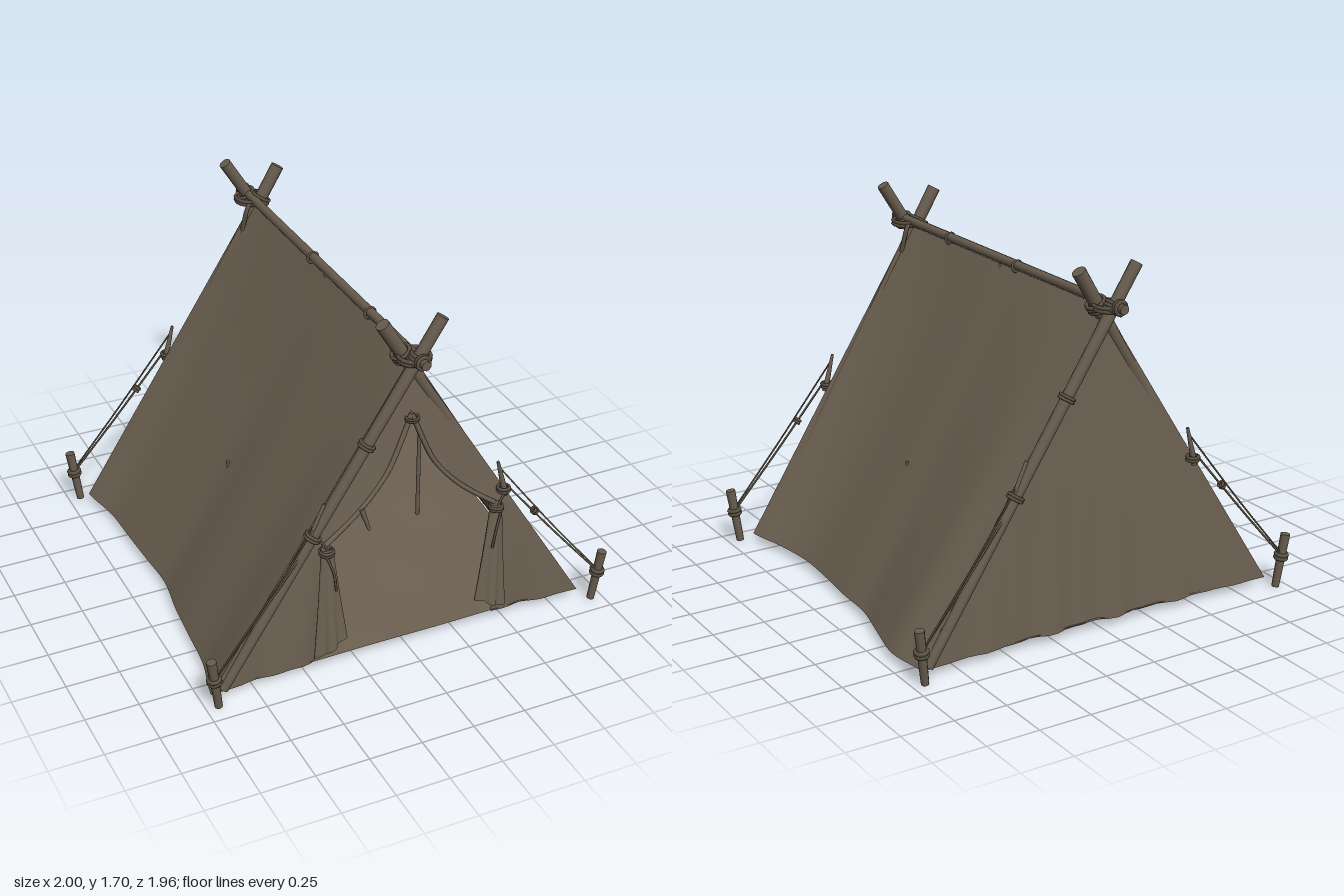
import * as THREE from 'three';

const V = (x, y, z) => new THREE.Vector3(x, y, z);
const TOP = 1.485, HEM = 0.04;

// Linear lookup in a short list of [key, value] pairs
function lookup(pairs, k) {
  for (let i = 1; i < pairs.length; i++) {
    const [a, va] = pairs[i - 1], [b, vb] = pairs[i];
    if (k <= b) return THREE.MathUtils.lerp(va, vb, THREE.MathUtils.clamp((k - a) / (b - a), 0, 1));
  }
  return pairs[pairs.length - 1][1];
}

// Wavy hem of each side, from back to front
const hemCurve = list => new THREE.SplineCurve(list.map((x, i) => new THREE.Vector2(-0.87 + i * 0.2175, x)));
const hems = {
  1: hemCurve([0.93, 0.955, 0.91, 0.86, 0.85, 0.83, 0.82, 0.845, 0.89]),
  '-1': hemCurve([0.91, 0.87, 0.86, 0.85, 0.84, 0.87, 0.89, 0.91, 0.96]),
};
const hemX = (side, w) => hems[side].getPoint(w).y;
const drop = y => (TOP - y) / (TOP - HEM);
const endZ = t => 0.84 + 0.03 * t;
const ruffle = (x, t) => t * t * (0.012 * Math.sin(x * 19) + 0.008 * Math.sin(x * 37 + 1));

// Half-width of the door opening by height
const doorX = y => lookup([[0.04, 0.44], [0.55, 0.43], [0.66, 0.42], [0.72, 0.34], [0.8, 0.245],
  [0.88, 0.17], [0.97, 0.105], [1.08, 0.055], [1.22, 0.0]], y);

export function createModel() {
  const group = new THREE.Group();
  const mat = (name, color, side = THREE.FrontSide) => {
    const m = new THREE.MeshStandardMaterial({ color, side });
    m.name = name;
    return m;
  };
  const canvas = mat('canvas', 0x6e6253, THREE.DoubleSide);
  const wood = mat('wood', 0x685c4e);
  const rope = mat('rope', 0x5c5144);

  const add = (name, geometry, material) => {
    const mesh = new THREE.Mesh(geometry, material);
    mesh.name = name;
    group.add(mesh);
    return mesh;
  };

  // Cloth sheet from a rule over u and v
  function sheet(name, nu, nv, rule) {
    const g = new THREE.PlaneGeometry(1, 1, nu, nv), p = g.attributes.position;
    for (let i = 0; i < p.count; i++) {
      const q = rule(p.getX(i) + 0.5, 0.5 - p.getY(i));
      p.setXYZ(i, q.x, q.y, q.z);
    }
    g.computeVertexNormals();
    return add(name, g, canvas);
  }
  // Round stick between two points
  function rod(name, a, b, ra, rb = ra, material = wood) {
    const d = b.clone().sub(a);
    const mesh = add(name, new THREE.CylinderGeometry(rb, ra, d.length(), 10), material);
    mesh.position.copy(a).addScaledVector(d, 0.5);
    mesh.quaternion.setFromUnitVectors(V(0, 1, 0), d.normalize());
  }
  function cord(name, points, r = 0.006, material = rope) {
    add(name, new THREE.TubeGeometry(new THREE.CatmullRomCurve3(points), 24, r, 6), material);
  }
  // Coils of rope round an axis
  function lashing(name, at, axis, radius, turns = 2, r = 0.009) {
    const dir = axis.clone().normalize();
    for (let i = 0; i < turns; i++) {
      const mesh = add(name, new THREE.TorusGeometry(radius, r, 6, 14), rope);
      mesh.position.copy(at).addScaledVector(dir, (i - (turns - 1) / 2) * r * 1.7);
      mesh.quaternion.setFromUnitVectors(V(0, 0, 1), dir);
    }
  }

  // Sloping side walls
  for (const s of [1, -1]) {
    sheet(s > 0 ? 'leftSlope' : 'rightSlope', 40, 16, (w, t) => {
      const z = (w * 2 - 1) * endZ(t);
      const sag = -0.012 * Math.sin(Math.PI * t) * Math.sin(Math.PI * w);
      return V(s * (hemX(s, w) * t + sag), TOP - (TOP - HEM) * t, z);
    });
  }

  // Closed back wall
  sheet('backWall', 40, 16, (u, t) => {
    const x = THREE.MathUtils.lerp(-hemX(-1, 0), hemX(1, 0), u) * t;
    const inside = Math.sin(Math.PI * u);
    return V(x, TOP - (TOP - HEM) * t, -endZ(t) + inside * (0.02 * t + ruffle(x, t)));
  });

  // Front wall halves, with rolled door edge and tied curtain
  for (const s of [1, -1]) {
    sheet(s > 0 ? 'leftFrontWall' : 'rightFrontWall', 14, 40, (u, t) => {
      const y = TOP - (TOP - HEM) * t;
      const outer = hemX(s, 1) * t;
      const x = THREE.MathUtils.lerp(Math.min(doorX(y), outer), outer, u);
      const loose = 1 - u;
      return V(s * x, y, endZ(t) + loose * (ruffle(x * s, t) + 0.02 * Math.sin(Math.PI * t) - 0.02 * t));
    });
    const edge = [1.22, 1.08, 0.97, 0.88, 0.8, 0.72, 0.66].map(y => V(s * doorX(y), y, endZ(drop(y)) + 0.012));
    cord('doorEdgeRoll', edge, 0.012, canvas);

    sheet('tiedCurtain', 40, 12, (u, v) => {
      const a = u * Math.PI * 2;
      const pleat = 1 + 0.22 * v * Math.sin(a * 5);
      const rx = (0.028 + 0.042 * v) * pleat, rz = (0.02 + 0.014 * v) * pleat;
      const slant = -s * Math.cos(a) * 0.035 * v;
      return V(s * (0.415 - 0.015 * v) + rx * Math.cos(a), 0.67 - 0.53 * v + slant, 0.895 + rz * Math.sin(a));
    });
    lashing('curtainTie', V(s * 0.415, 0.65, 0.895), V(0, 1, 0), 0.03, 2, 0.007);
    cord('curtainTieTail', [V(s * 0.43, 0.65, 0.92), V(s * 0.4, 0.56, 0.935), V(s * 0.385, 0.46, 0.93)]);
    cord('curtainTieLoop', [V(s * 0.415, 0.66, 0.91), V(s * 0.44, 0.71, 0.91), V(s * 0.48, 0.74, 0.9)]);
  }
  lashing('doorTopTie', V(0, 1.2, 0.865), V(0, 1, 0), 0.028, 2, 0.006);
  rod('hangingStrap', V(-0.24, 0.81, 0.87), V(-0.2, 0.69, 0.87), 0.014, 0.007, canvas);

  // Groundsheet
  sheet('groundsheet', 20, 20, (u, v) => {
    const z = (v * 2 - 1) * 0.855;
    const x = THREE.MathUtils.lerp(-hemX(-1, v), hemX(1, v), u) * 0.985;
    return V(x, 0.048 + 0.004 * Math.sin(x * 9) * Math.sin(z * 7), z);
  });

  // Ridge pole and thin inner uprights
  rod('ridgePole', V(0, 1.51, -0.98), V(0, 1.51, 0.98), 0.022);
  rod('middleUpright', V(0, 0.02, 0), V(0, 1.49, 0), 0.01);
  for (const x of [-0.5, 0.5]) rod('sideUpright', V(x, 0.02, 0), V(x, 0.62, 0), 0.01);
  for (const z of [-0.14, 0.45]) lashing('ridgeTie', V(0, 1.505, z), V(0, 0, 1), 0.025, 1, 0.007);

  // Crossed poles at each end; the back pair is the front pair turned half round
  for (const e of [1, -1]) {
    const P = (x, y, z) => V(x * e, y, z * e);
    const outerTop = P(0.11, 1.685, 0.905), outerFoot = P(-0.9, 0.05, 0.865);
    const innerTop = P(-0.13, 1.66, 0.825), innerFoot = P(0.85, 0.04, 0.81);
    rod('outerPole', outerFoot, outerTop, 0.024, 0.029);
    rod('innerPole', innerFoot, innerTop, 0.024, 0.032);

    // Lashings where the poles cross
    const outerDir = outerTop.clone().sub(outerFoot), innerDir = innerTop.clone().sub(innerFoot);
    lashing('crossLashing', P(0.0, 1.5, 0.9), outerDir, 0.04, 3);
    lashing('crossLashing', P(-0.035, 1.5, 0.825), innerDir, 0.042, 3);
    lashing('crossLashing', P(0, 1.5, 0.865), V(0, 1, 0), 0.07, 2);
    lashing('ridgeLashing', P(0, 1.51, 0.945), V(0, 0, 1), 0.028, 2);
    cord('lashingTail', [P(0.03, 1.5, 0.8), P(0.05, 1.47, 0.79), P(0.07, 1.37, 0.8)], 0.011);

    // Ties along the outer pole
    for (const k of [0.42, 0.665]) {
      lashing('poleTie', outerFoot.clone().lerp(outerTop, k), outerDir, 0.033, 2, 0.008);
    }
    // Toggles that hold the guy ropes
    rod('toggle', P(-0.5, 0.72, 0.89), P(-0.42, 0.89, 0.88), 0.013, 0.008);
    rod('toggle', P(0.465, 0.7, 0.885), P(0.42, 0.88, 0.885), 0.016, 0.007);
    lashing('toggleTie', P(0.455, 0.73, 0.885), V(0, 1, 0), 0.026, 2, 0.008);
    lashing('ropeKnot', P(0.62, 0.57, 0.89), P(-0.6, 0.7, 0), 0.012, 2, 0.008);

    // Corner stakes with guy ropes
    for (const s of [1, -1]) {
      rod('stake', P(s * 0.942, 0.003, 0.912), P(s * 0.976, 0.265, 0.928), 0.018, 0.023);
      lashing('stakeKnot', P(s * 0.962, 0.155, 0.92), P(s * 0.034, 0.26, 0.016), 0.026, 2, 0.01);
      cord('guyRope', [P(s * 0.955, 0.165, 0.92), P(s * 0.72, 0.44, 0.905), P(s * 0.47, 0.745, 0.89)], 0.005);
      cord('guyRope', [P(s * 0.95, 0.18, 0.925), P(s * 0.7, 0.49, 0.91), P(s * 0.42, 0.86, 0.885)], 0.004);
    }
  }
  return group;
}
